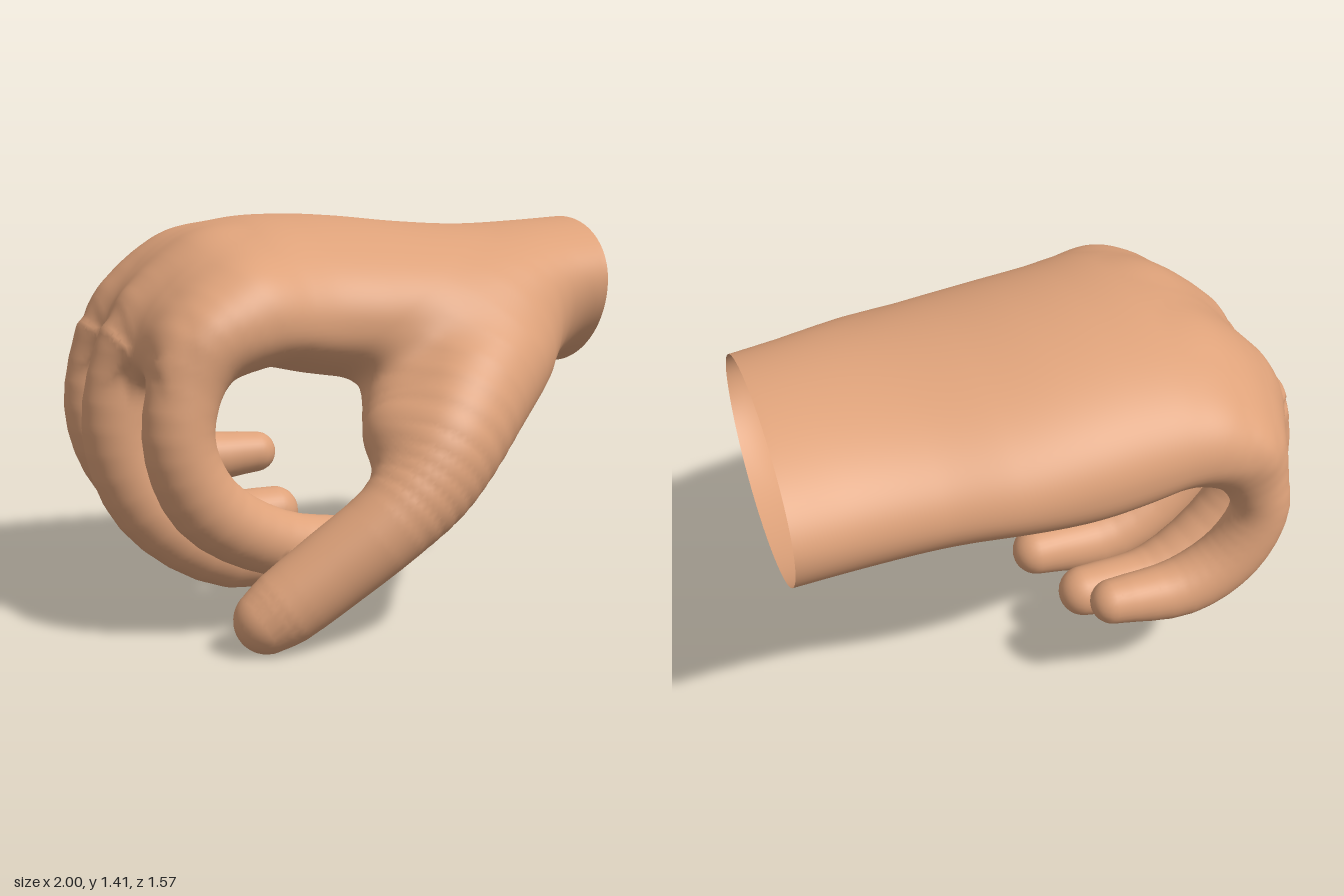
import * as THREE from 'three';

const skin = new THREE.MeshStandardMaterial({ color: 0xdea27a, side: THREE.DoubleSide });
skin.name = 'skin';

const { lerp, clamp, smoothstep } = THREE.MathUtils;

// Union of two distances with a soft fillet of size k
function blend(a, b, k) {
  const h = Math.max(k - Math.abs(a - b), 0) / k;
  return Math.min(a, b) - h * h * k / 4;
}

// Distance to a tapered rounded tube; each stop is [x, y, z, radius]
function limb(stops, steps = 20) {
  const curve = new THREE.CatmullRomCurve3(stops.map(([x, y, z]) => new THREE.Vector3(x, y, z)));
  const radius = new THREE.CubicInterpolant(
    stops.map((_, i) => i), new Float32Array(stops.map((s) => s[3])), 1);
  const beads = [];
  for (let i = 0; i <= steps; i++) {
    const { x, y, z } = curve.getPoint(i / steps);
    beads.push({ x, y, z, r: radius.evaluate((i / steps) * (stops.length - 1))[0] });
  }
  return (x, y, z) => {
    let best = Infinity;
    for (let i = 0; i < steps; i++) {
      const a = beads[i], b = beads[i + 1];
      const dx = b.x - a.x, dy = b.y - a.y, dz = b.z - a.z;
      const px = x - a.x, py = y - a.y, pz = z - a.z;
      const t = clamp((px * dx + py * dy + pz * dz) / (dx * dx + dy * dy + dz * dz), 0, 1);
      const qx = px - t * dx, qy = py - t * dy, qz = pz - t * dz;
      best = Math.min(best, Math.sqrt(qx * qx + qy * qy + qz * qz) - lerp(a.r, b.r, t));
    }
    return best;
  };
}

// Palm and wrist cross-sections: x, z min, z max, side height, top, bottom, tilt
const sections = [
  [-0.88, -0.34, 0.20, 0.97, 1.00, 0.93, 0],
  [-0.83, -0.60, 0.40, 0.99, 1.12, 0.88, 0],
  [-0.74, -0.75, 0.49, 1.02, 1.24, 0.87, 0],
  [-0.60, -0.78, 0.51, 1.06, 1.345, 0.88, 0],
  [-0.40, -0.785, 0.49, 1.08, 1.40, 0.89, 0],
  [-0.20, -0.785, 0.455, 1.07, 1.41, 0.85, 0],
  [0.00, -0.785, 0.45, 1.06, 1.40, 0.82, 0],
  [0.25, -0.765, 0.43, 1.06, 1.375, 0.81, 0.01],
  [0.50, -0.715, 0.37, 1.07, 1.36, 0.81, 0.03],
  [0.75, -0.69, 0.29, 1.09, 1.365, 0.805, 0.05],
  [0.97, -0.70, 0.235, 1.11, 1.375, 0.805, 0.05],
];
const profile = new THREE.CubicInterpolant(
  sections.map((s) => s[0]), new Float32Array(sections.flatMap((s) => s.slice(1))), 6);

// Distance within one cross-section: domed above, squarer below towards the fingers
function crossSection(x, y, z) {
  const [z0, z1, side, top, bottom, tilt] = profile.evaluate(x);
  const rz = (z1 - z0) / 2, u = (z - (z0 + z1) / 2) / rz;
  const dy = y - side - tilt * clamp(u, -1, 1);
  const ry = Math.max(dy > 0 ? top - side : side - bottom, 0.01);
  const p = dy > 0 ? 2 : 2 + 0.7 * smoothstep(-x, -0.4, 0.2);
  const au = Math.abs(u), av = Math.abs(dy / ry);
  const k = Math.max(Math.pow(au ** p + av ** p, 1 / p), 1e-6);
  return (k - 1) / Math.hypot((au / k) ** (p - 1) / rz, (av / k) ** (p - 1) / ry);
}

function palm(x, y, z) {
  // The little-finger side ends a little further back
  const sx = x - 0.06 * smoothstep(-z, 0.45, 0.75) * smoothstep(-x, 0.3, 0.7);
  const slope = (crossSection(sx + 0.01, y, z) - crossSection(sx - 0.01, y, z)) / 0.02;
  return Math.max(crossSection(sx, y, z) / Math.hypot(1, slope), -0.88 - sx);
}

// Thumb with the fleshy mound that joins it to the palm
const thumbBone = limb([
  [0.62, 1.02, 0.09, 0.20], [0.45, 0.935, 0.27, 0.23], [0.27, 0.805, 0.43, 0.225],
  [0.13, 0.66, 0.55, 0.20], [0.03, 0.54, 0.605, 0.172], [-0.10, 0.425, 0.635, 0.145],
  [-0.30, 0.275, 0.61, 0.138], [-0.46, 0.16, 0.59, 0.13], [-0.53, 0.115, 0.585, 0.112],
], 24);
const thumbMound = limb([
  [0.54, 0.96, -0.02, 0.17], [0.29, 0.85, 0.16, 0.20], [0.09, 0.75, 0.36, 0.17],
  [0.0, 0.69, 0.47, 0.13],
], 9);

// Parts growing out of the palm, with the softness of each joint
const limbs = [
  { name: 'indexFinger', soft: 0.09, distance: limb([
    [-0.50, 1.10, 0.33, 0.15], [-0.69, 0.98, 0.39, 0.13], [-0.775, 0.72, 0.42, 0.12],
    [-0.68, 0.48, 0.40, 0.125], [-0.42, 0.32, 0.36, 0.115], [-0.12, 0.28, 0.325, 0.095],
  ]) },
  { name: 'middleFinger', soft: 0.09, distance: limb([
    [-0.52, 1.16, 0.02, 0.17], [-0.78, 0.99, 0.02, 0.14], [-0.87, 0.70, 0.025, 0.13],
    [-0.77, 0.41, 0.02, 0.13], [-0.46, 0.20, 0.005, 0.122], [-0.13, 0.21, -0.005, 0.092],
  ]) },
  { name: 'ringFinger', soft: 0.09, distance: limb([
    [-0.52, 1.15, -0.34, 0.17], [-0.76, 0.99, -0.345, 0.14], [-0.855, 0.72, -0.34, 0.122],
    [-0.76, 0.46, -0.34, 0.122], [-0.47, 0.25, -0.345, 0.118], [-0.17, 0.265, -0.345, 0.092],
  ]) },
  { name: 'littleFinger', soft: 0.09, distance: limb([
    [-0.46, 1.06, -0.60, 0.14], [-0.61, 0.95, -0.645, 0.12], [-0.685, 0.76, -0.67, 0.103],
    [-0.60, 0.56, -0.66, 0.108], [-0.42, 0.445, -0.64, 0.106], [-0.15, 0.445, -0.62, 0.08],
  ]) },
  { name: 'thumb', soft: 0.14,
    distance: (x, y, z) => blend(thumbBone(x, y, z), thumbMound(x, y, z), 0.1) },
];

function handDistance(x, y, z) {
  const p = palm(x, y, z);
  let d = p;
  for (const l of limbs) d = Math.min(d, blend(p, l.distance(x, y, z), l.soft));
  return d;
}

// Name of the part a surface point belongs to
function partAt(x, y, z) {
  let name = 'palmAndWrist', best = palm(x, y, z);
  for (const l of limbs) {
    const d = l.distance(x, y, z);
    if (d < best) [name, best] = [l.name, d];
  }
  return name;
}

export function createModel() {
  // Sample the hand on a grid whose last x layer is the open wrist
  const h = 0.02, nx = 101, ny = 75, nz = 86, origin = [-1.03, -0.03, -0.85];
  const stride = [1, nx, nx * ny], cut = origin[0] + (nx - 1) * h;
  const field = new Float32Array(nx * ny * nz);
  const eachCell = (visit) => {
    for (let k = 0; k < nz - 1; k++)
      for (let j = 0; j < ny - 1; j++)
        for (let i = 0; i < nx - 1; i++) visit(i + j * nx + k * nx * ny, [i, j, k]);
  };
  for (let p = 0; p < field.length; p++) {
    const i = p % nx, j = Math.floor(p / nx) % ny, k = Math.floor(p / (nx * ny));
    field[p] = handDistance(origin[0] + i * h, origin[1] + j * h, origin[2] + k * h);
  }

  // One vertex in every cell the skin passes through, pulled onto the skin
  const vertexOf = new Int32Array(field.length).fill(-1);
  const positions = [], normals = [], parts = [];
  eachCell((p, cell) => {
    const sum = [0, 0, 0];
    let hits = 0;
    for (let a = 0; a < 3; a++) {
      const b = (a + 1) % 3, c = (a + 2) % 3;
      for (let e = 0; e < 4; e++) {
        const q = p + (e & 1) * stride[b] + (e >> 1) * stride[c];
        const f0 = field[q], f1 = field[q + stride[a]];
        if (f0 < 0 === f1 < 0) continue;
        sum[a] += f0 / (f0 - f1);
        sum[b] += e & 1;
        sum[c] += e >> 1;
        hits++;
      }
    }
    if (!hits) return;
    let [x, y, z] = sum.map((s, a) => origin[a] + (cell[a] + s / hits) * h);
    const rim = cell[0] === nx - 2;
    if (rim) x = cut;
    const e = 0.015;
    const n = new THREE.Vector3(
      handDistance(x + e, y, z) - handDistance(x - e, y, z),
      handDistance(x, y + e, z) - handDistance(x, y - e, z),
      handDistance(x, y, z + e) - handDistance(x, y, z - e)).normalize();
    const d = clamp(handDistance(x, y, z), -h / 2, h / 2);
    if (!rim) x -= n.x * d;
    y -= n.y * d;
    z -= n.z * d;
    vertexOf[p] = parts.length;
    parts.push(partAt(x, y, z));
    // The wrist is cut at a slight slant
    positions.push(x - 0.06 * (z + 0.23) * smoothstep(x, 0.6, cut), y, z);
    normals.push(n.x, n.y, n.z);
  });

  // Join neighbouring vertices into faces, sorted by part
  const faces = { palmAndWrist: [] };
  for (const l of limbs) faces[l.name] = [];
  eachCell((p) => {
    for (let a = 0; a < 3; a++) {
      const inside = field[p] < 0;
      if (inside === field[p + stride[a]] < 0) continue;
      const b = stride[(a + 1) % 3], c = stride[(a + 2) % 3];
      const quad = [p, p - b, p - b - c, p - c].map((q) => vertexOf[q]);
      if (quad.some((v) => !(v >= 0))) continue;
      if (!inside) quad.reverse();
      const [v0, v1, v2, v3] = quad;
      faces[parts[v0]].push(v0, v1, v2, v0, v2, v3);
    }
  });

  const hand = new THREE.Group();
  hand.name = 'hand';
  const position = new THREE.Float32BufferAttribute(positions, 3);
  const normal = new THREE.Float32BufferAttribute(normals, 3);
  for (const [name, index] of Object.entries(faces)) {
    const geometry = new THREE.BufferGeometry();
    geometry.setAttribute('position', position);
    geometry.setAttribute('normal', normal);
    geometry.setIndex(index);
    const mesh = new THREE.Mesh(geometry, skin);
    mesh.name = name;
    hand.add(mesh);
  }
  return hand;
}
